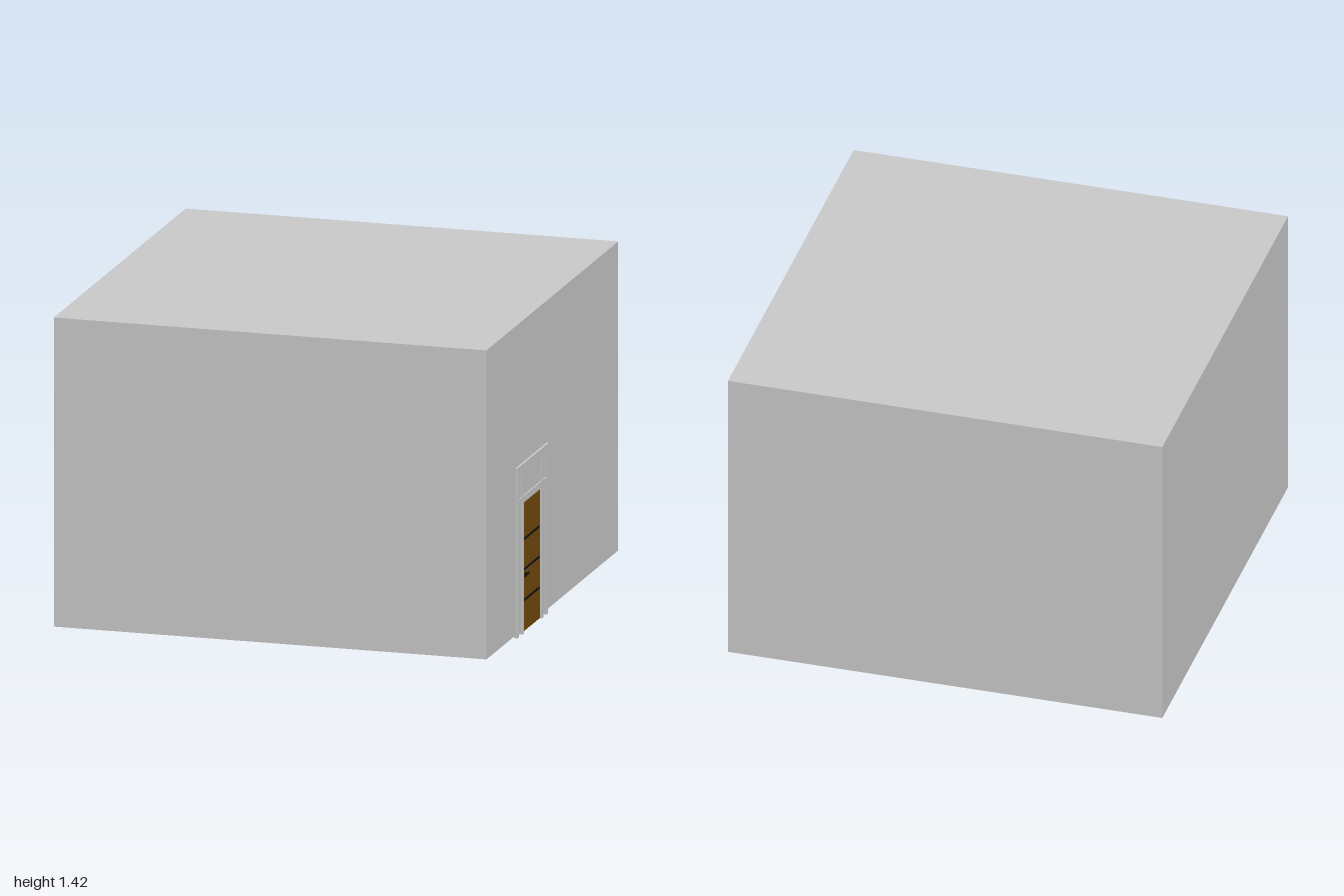
import * as THREE from 'three';

const grey = new THREE.MeshStandardMaterial({ color: 0xcccccc });
const wood = new THREE.MeshStandardMaterial({ color: 0x734a0c });
const black = new THREE.MeshStandardMaterial({ color: 0x111111 });

// Box given by its limits on each axis
function block(name, [x0, x1], [y0, y1], [z0, z1], material = grey) {
  const mesh = new THREE.Mesh(new THREE.BoxGeometry(x1 - x0, y1 - y0, z1 - z0), material);
  mesh.position.set((x0 + x1) / 2, (y0 + y1) / 2, (z0 + z1) / 2);
  mesh.name = name;
  return mesh;
}

export function createModel() {
  const model = new THREE.Group();
  model.add(block('building', [-1, 0.99], [0.015, 1.42], [-1, 1]));

  // Doorway group, centred on its own z = 0
  const doorway = new THREE.Group();
  doorway.name = 'doorway';
  doorway.position.z = 0.322;
  model.add(doorway);

  // Door leaf with dark inlay strips
  doorway.add(block('door', [0.98, 0.993], [0.005, 0.59], [-0.128, 0.132], wood));
  doorway.add(block('doorEdge', [0.99, 0.994], [0.005, 0.59], [0.122, 0.132], wood));
  for (const y of [0.147, 0.287, 0.425]) {
    doorway.add(block('doorStrip', [0.99, 0.995], [y - 0.005, y + 0.005], [-0.112, 0.118], black));
  }

  // Handle: plate and lever
  const handle = new THREE.Group();
  handle.name = 'handle';
  handle.add(block('handlePlate', [0.99, 0.996], [0.247, 0.267], [0.085, 0.109], black));
  handle.add(block('handleLever', [0.995, 0.999], [0.253, 0.262], [0.055, 0.105], black));
  doorway.add(handle);

  // Pilasters either side: recessed panel between two raised mouldings
  for (const side of [-1, 1]) {
    const span = (a, b) => (side > 0 ? [a, b] : [-b, -a]);
    const pilaster = new THREE.Group();
    pilaster.name = side > 0 ? 'frontPilaster' : 'backPilaster';
    pilaster.add(
      block('pilasterPanel', [0.98, 0.993], [0.01, 0.74], span(0.132, 0.225)),
      block('outerMoulding', [0.98, 0.998], [0, 0.745], span(0.207, 0.23)),
      block('innerMoulding', [0.98, 0.998], [0, 0.6], span(0.132, 0.16)),
      block('transomMoulding', [0.98, 0.997], [0.625, 0.74], span(0.14, 0.16)),
    );
    doorway.add(pilaster);
  }

  // Transom panel, rail above the door and cornice
  doorway.add(
    block('transomPanel', [0.98, 0.992], [0.59, 0.74], [-0.14, 0.14]),
    block('rail', [0.98, 0.998], [0.595, 0.625], [-0.23, 0.23]),
    block('corniceBed', [0.98, 0.998], [0.735, 0.76], [-0.23, 0.23]),
    block('cornice', [0.98, 1], [0.755, 0.775], [-0.235, 0.235]),
  );
  return model;
}
